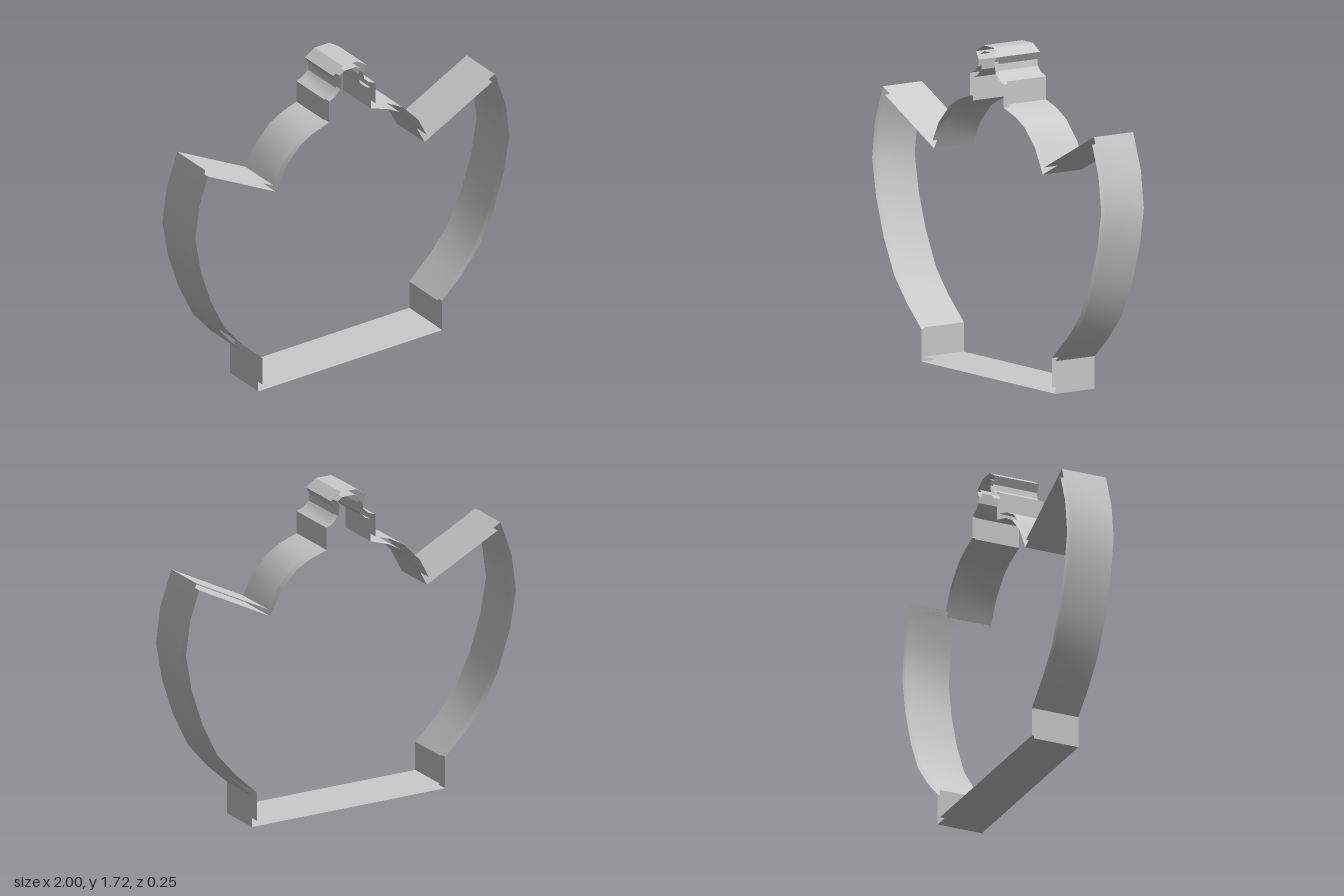
import * as THREE from 'three';
import { toCreasedNormals } from 'three/addons/utils/BufferGeometryUtils.js';

const HALF_DEPTH = 0.125;
const THICKNESS = 0.029;

// Right half of the outline, from the base up to the finial
const half = [
  [0.577, 0], [0.577, 0.17],                                  // base block
  [0.7, 0.285], [0.81, 0.415], [0.9, 0.6], [0.965, 0.8],      // bulging side
  [1, 1], [0.975, 1.193], [0.908, 1.385],                     // outer tip
  [0.48, 1.165],                                              // notch
  [0.426, 1.27], [0.33, 1.37], [0.25, 1.415], [0.16, 1.445],  // centre dome
  [0.16, 1.565], [0.115, 1.583], [0.088, 1.61],               // collar and neck
  [0.083, 1.645], [0.106, 1.685], [0.045, 1.724],             // finial
];

// Full closed outline, counter-clockwise
function outline() {
  const mirrored = half.map(([x, y]) => [-x, y]).reverse();
  return [...half, ...mirrored].map(([x, y]) => new THREE.Vector2(x, y));
}

// Move every corner inwards along its mitre
function inset(points, d) {
  const n = points.length;
  return points.map((p, i) => {
    const a = p.clone().sub(points[(i + n - 1) % n]).normalize();
    const b = points[(i + 1) % n].clone().sub(p).normalize();
    const na = new THREE.Vector2(-a.y, a.x);
    const nb = new THREE.Vector2(-b.y, b.x);
    const k = d / Math.max(1 + na.dot(nb), 0.3);
    return p.clone().addScaledVector(na.add(nb), k);
  });
}

// Open-ended band that follows a closed outline through the depth
function band(points, name, material) {
  const pos = [];
  const h = HALF_DEPTH;
  points.forEach((p, i) => {
    const q = points[(i + 1) % points.length];
    pos.push(p.x, p.y, -h, q.x, q.y, -h, q.x, q.y, h);
    pos.push(p.x, p.y, -h, q.x, q.y, h, p.x, p.y, h);
  });
  const geometry = new THREE.BufferGeometry();
  geometry.setAttribute('position', new THREE.Float32BufferAttribute(pos, 3));
  const mesh = new THREE.Mesh(toCreasedNormals(geometry, 0.55), material);
  mesh.name = name;
  return mesh;
}

export function createModel() {
  const group = new THREE.Group();
  group.name = 'crownCutter';
  const material = new THREE.MeshStandardMaterial({ color: 0xcccccc, side: THREE.DoubleSide });
  const outer = outline();
  const inner = inset(outer, THICKNESS).reverse(); // reversed so it faces inwards
  group.add(band(outer, 'outerWall', material));
  group.add(band(inner, 'innerWall', material));
  return group;
}
